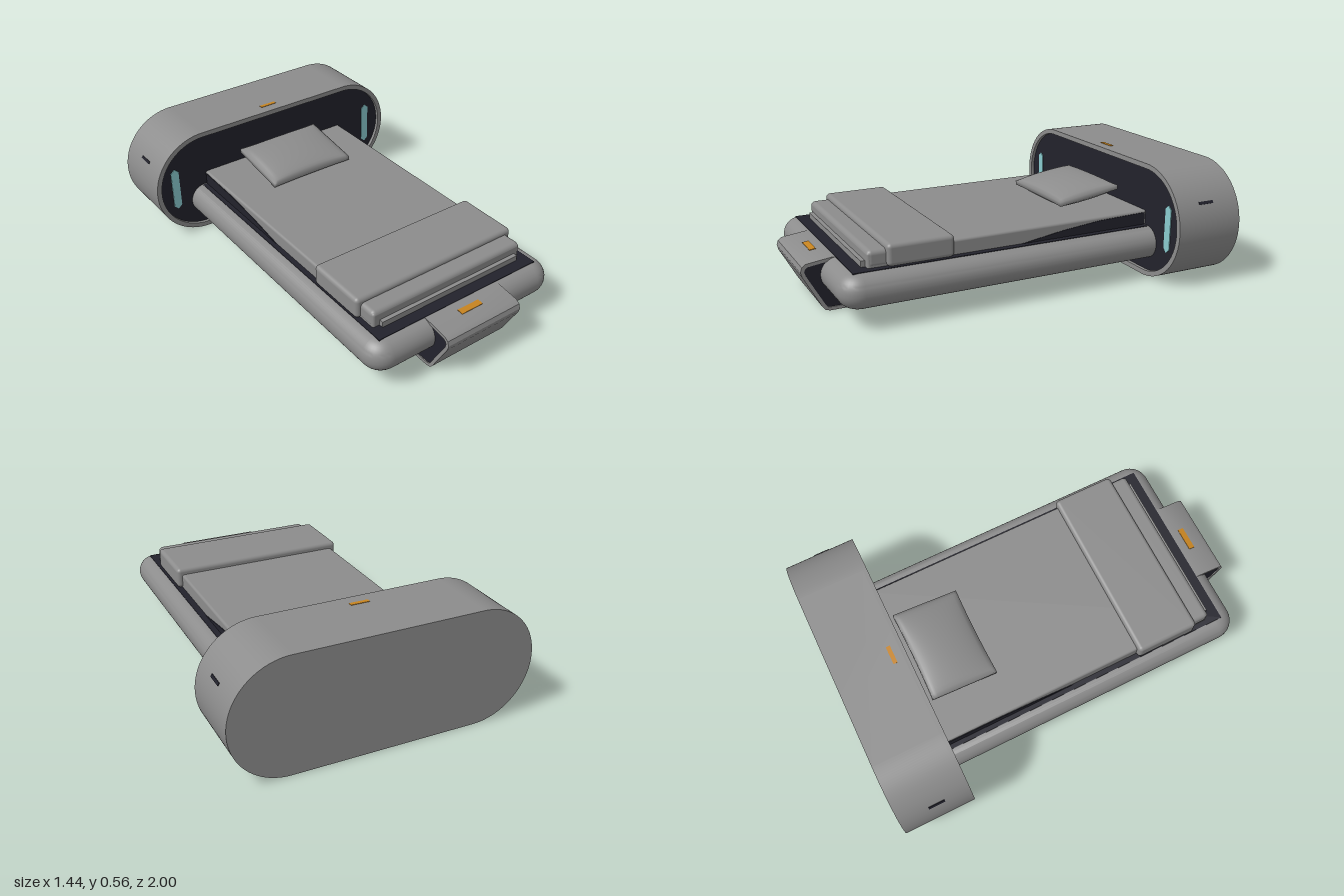
import * as THREE from 'three';
import { mergeVertices, toCreasedNormals } from 'three/addons/utils/BufferGeometryUtils.js';
import { RoundedBoxGeometry } from 'three/addons/geometries/RoundedBoxGeometry.js';

const material = (name, color) => {
  const m = new THREE.MeshStandardMaterial({ color });
  m.name = name;
  return m;
};

// Pill outline with its straight sides along x
function stadium(halfLength, radius, cy, Type = THREE.Shape) {
  const s = new Type();
  s.absarc(halfLength, cy, radius, -Math.PI / 2, Math.PI / 2, false);
  s.absarc(-halfLength, cy, radius, Math.PI / 2, Math.PI * 1.5, false);
  s.closePath();
  return s;
}

function extrude(shape, depth, options = {}) {
  return new THREE.ExtrudeGeometry(shape, { depth, bevelEnabled: false, curveSegments: 40, ...options });
}

// Extrudes a (z, y) side profile across x, centred
function sideProfile(points, width) {
  const shape = new THREE.Shape(points.map(([z, y]) => new THREE.Vector2(z, y)));
  return extrude(shape, width).translate(0, 0, -width / 2).rotateY(-Math.PI / 2);
}

// Cushion that bulges in the middle and thins to its seam
function pillowGeometry(width, length, bulge, edge) {
  const g = new THREE.BoxGeometry(2, 2, 2, 24, 1, 24);
  const p = g.attributes.position;
  for (let i = 0; i < p.count; i++) {
    const u = p.getX(i), w = p.getZ(i);
    const swell = Math.pow(Math.max(0, (1 - u * u) * (1 - w * w)), 0.5);
    const pinch = 1 - 0.03 * (1 - u * u) * Math.abs(w);
    p.setXYZ(i, u * width / 2, p.getY(i) * (edge + bulge * swell), w * pinch * length / 2);
  }
  g.deleteAttribute('normal');
  g.deleteAttribute('uv');
  const merged = mergeVertices(g);
  merged.computeVertexNormals();
  return merged;
}

export function createModel() {
  const model = new THREE.Group();
  model.name = 'bed';
  const grey = material('shell grey', 0x8c8c8c);
  const dark = material('dark lining', 0x22222c);
  const cyan = material('light strip cyan', 0x8accd0);
  const orange = material('marker orange', 0xc78420);

  const add = (name, geometry, mat, x = 0, y = 0, z = 0) => {
    const mesh = new THREE.Mesh(geometry, mat);
    mesh.name = name;
    mesh.position.set(x, y, z);
    model.add(mesh);
    return mesh;
  };
  const box = (name, mat, w, h, d, x, y, z) => add(name, new THREE.BoxGeometry(w, h, d), mat, x, y, z);

  // Headboard: solid pill with a raised rim around a dark front
  add('headboard', toCreasedNormals(extrude(stadium(0.44, 0.28, 0.28), 0.33), 0.6), grey, 0, 0, -1);
  const rim = stadium(0.44, 0.28, 0.28);
  rim.holes.push(stadium(0.44, 0.255, 0.28, THREE.Path));
  add('headboardRim', toCreasedNormals(extrude(rim, 0.02), 0.6), grey, 0, 0, -0.67);
  add('headboardPanel', extrude(stadium(0.44, 0.255, 0.28), 0.003), dark, 0, 0, -0.67);

  // Light strips and end slots on both sides
  const strip = new THREE.Shape([[0, -0.117], [0.021, -0.098], [0.021, 0.098], [0, 0.117], [-0.021, 0.098], [-0.021, -0.098]]
    .map(([x, y]) => new THREE.Vector2(x, y)));
  const slotAngle = 0.484;
  for (const side of [-1, 1]) {
    add('lightStrip', extrude(strip, 0.004), cyan, side * 0.607, 0.276, -0.667);
    const slot = box('endSlot', dark, 0.006, 0.014, 0.08,
      side * (0.44 + 0.28 * Math.cos(slotAngle)), 0.28 + 0.28 * Math.sin(slotAngle), -0.815);
    slot.rotation.z = side * slotAngle;
  }
  box('headboardMarker', orange, 0.09, 0.004, 0.02, -0.005, 0.56, -0.715);

  // Bed frame with fully rounded edges
  const plan = new THREE.Shape();
  plan.moveTo(-0.445, -0.8);
  plan.lineTo(0.445, -0.8);
  plan.lineTo(0.445, 0.805);
  plan.quadraticCurveTo(0.445, 0.83, 0.42, 0.83);
  plan.lineTo(-0.42, 0.83);
  plan.quadraticCurveTo(-0.445, 0.83, -0.445, 0.805);
  plan.closePath();
  const frame = extrude(plan, 0.002, { bevelEnabled: true, bevelThickness: 0.079, bevelSize: 0.079, bevelSegments: 12, curveSegments: 10 });
  frame.rotateX(Math.PI / 2);
  add('frame', toCreasedNormals(frame, 0.7), grey, 0, 0.171, 0);
  box('frameInlay', dark, 0.912, 0.008, 1.5, 0, 0.248, 0.09);

  // Mattress, with dark wedges on its sides towards the head
  add('mattress', new RoundedBoxGeometry(0.855, 0.08, 1.44, 3, 0.012), grey, -0.003, 0.282, 0.045);
  box('mattressLip', grey, 0.79, 0.03, 0.02, 0, 0.265, 0.775);
  for (const side of [-1, 1]) {
    add('mattressWedge', sideProfile([[0.02, 0.252], [-0.66, 0.252], [-0.66, 0.312], [-0.4, 0.305], [-0.2, 0.285]], 0.006),
      dark, side * 0.4275 - 0.003, 0, 0);
  }

  // Folded blanket
  add('blanket', new RoundedBoxGeometry(0.905, 0.104, 0.315, 5, 0.02), grey, -0.003, 0.302, 0.523);
  add('blanketFold', new RoundedBoxGeometry(0.86, 0.08, 0.11, 4, 0.022), grey, -0.003, 0.29, 0.71);

  // Pillow, propped up towards the head
  add('pillow', pillowGeometry(0.465, 0.335, 0.036, 0.011), grey, -0.003, 0.37, -0.466).rotation.x = 0.15;

  // Under-frame spine: a skin that wraps up over the foot, around a dark core
  const outer = [[-0.75, 0], [0.875, 0], [0.895, 0.005], [0.908, 0.02], [0.993, 0.175], [1, 0.2],
    [0.993, 0.222], [0.975, 0.235], [0.86, 0.25], [0.83, 0.25]];
  const inner = [[-0.75, 0.016], [0.87, 0.016], [0.885, 0.019], [0.894, 0.03], [0.978, 0.182], [0.983, 0.2],
    [0.978, 0.212], [0.967, 0.22], [0.86, 0.235], [0.83, 0.235]];
  add('spineSkin', toCreasedNormals(sideProfile([...outer, ...inner.slice().reverse()], 0.42), 0.5), grey);
  add('spineCore', sideProfile([...inner, [0.83, 0.14], [-0.75, 0.14]], 0.41), dark);
  const marker = box('footMarker', orange, 0.12, 0.004, 0.03, 0, 0.2455, 0.9);
  marker.rotation.x = 0.13;

  return model;
}
